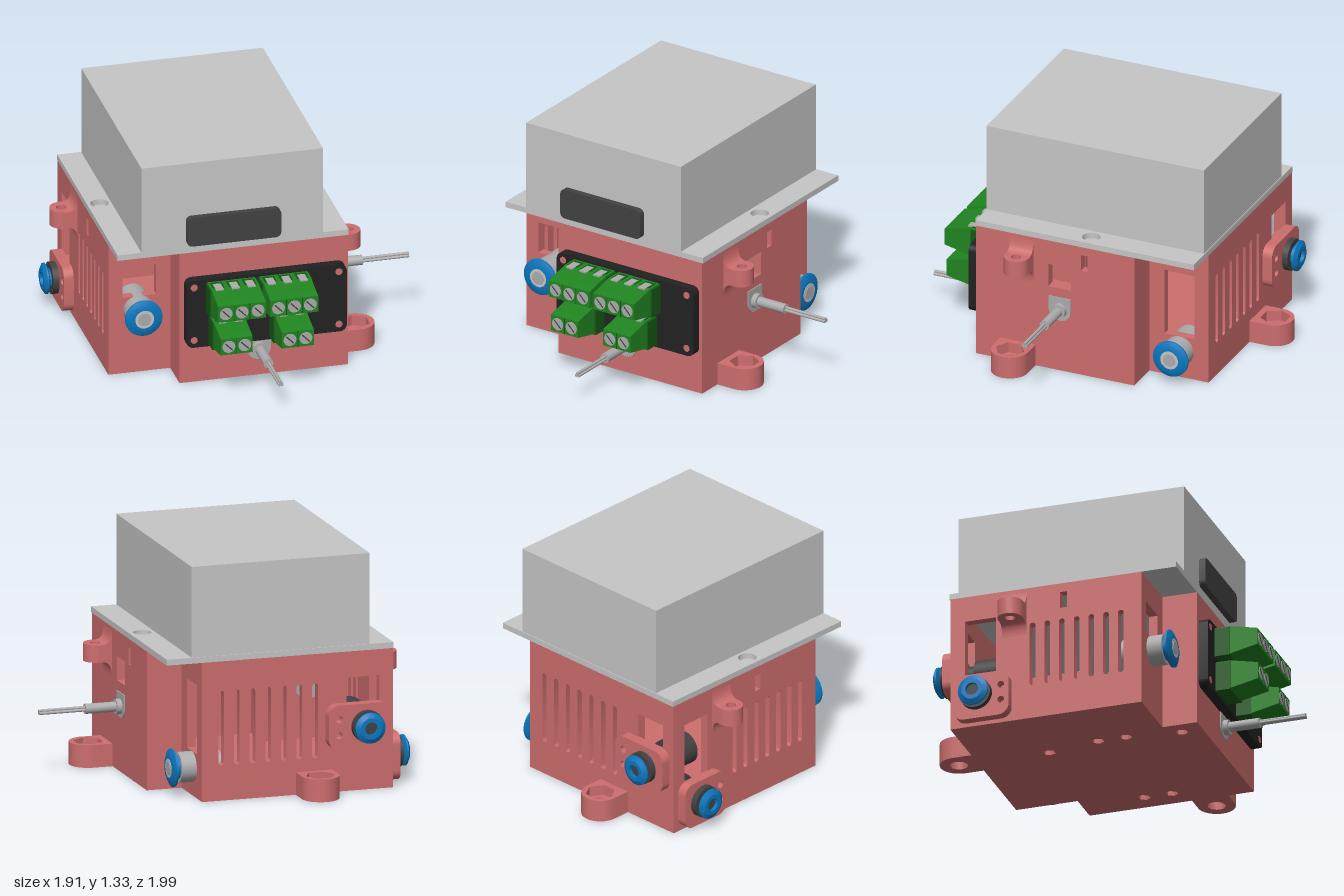
import * as THREE from 'three';
import { toCreasedNormals } from 'three/addons/utils/BufferGeometryUtils.js';

const mat = (name, color) => Object.assign(new THREE.MeshStandardMaterial({ color }), { name });

export function createModel() {
  const root = new THREE.Group();
  root.name = 'powerControlUnit';
  const M = {
    red: mat('coral plastic', 0xcd6d6d), grey: mat('light grey', 0xc6c6c6), metal: mat('metal grey', 0xacacac),
    dark: mat('dark grey', 0x424242), black: mat('black', 0x222222), green: mat('green', 0x208520),
    deep: mat('deep green', 0x145a14), blue: mat('blue', 0x0a78c0),
  };

  // Helpers
  const add = (name, geo, m, parent = root) => {
    const mesh = new THREE.Mesh(geo, m);
    mesh.name = name;
    parent.add(mesh);
    return mesh;
  };
  const box = (name, m, x0, x1, y0, y1, z0, z1) =>
    add(name, new THREE.BoxGeometry(x1 - x0, y1 - y0, z1 - z0)
      .translate((x0 + x1) / 2, (y0 + y1) / 2, (z0 + z1) / 2), m);
  const rounded = (x0, x1, y0, y1, r, T = THREE.Shape) => {
    const s = new T();
    s.absarc(x1 - r, y1 - r, r, 0, Math.PI / 2);
    s.absarc(x0 + r, y1 - r, r, Math.PI / 2, Math.PI);
    s.absarc(x0 + r, y0 + r, r, Math.PI, Math.PI * 1.5);
    s.absarc(x1 - r, y0 + r, r, Math.PI * 1.5, Math.PI * 2);
    s.closePath();
    return s;
  };
  const rect = (x0, x1, y0, y1) => new THREE.Shape([[x0, y0], [x1, y0], [x1, y1], [x0, y1]].map(p => new THREE.Vector2(...p)));
  const poly = (pts) => new THREE.Shape(pts.map(p => new THREE.Vector2(...p)));
  const ring = (x, y, r, n = 32) => poly(Array.from({ length: n }, (_, i) =>
    [x + r * Math.cos(i / n * Math.PI * 2), y + r * Math.sin(i / n * Math.PI * 2)]));
  const extrude = (shape, holes, depth) => {
    shape.holes.push(...holes);
    return toCreasedNormals(new THREE.ExtrudeGeometry(shape, { depth, bevelEnabled: false, curveSegments: 10 }), 0.6);
  };
  // Extrusions facing z (shape in x,y), x (shape in z,y) and y (shape in x,z)
  const faceZ = (name, m, shape, holes, z0, z1) => add(name, extrude(shape, holes, z1 - z0).translate(0, 0, z0), m);
  const faceX = (name, m, shape, holes, x0, x1) =>
    add(name, extrude(shape, holes, x1 - x0).rotateY(-Math.PI / 2).translate(x1, 0, 0), m);
  const faceY = (name, m, shape, holes, y0, y1) =>
    add(name, extrude(shape, holes, y1 - y0).rotateX(Math.PI / 2).translate(0, y1, 0), m);
  // Cylinder lying along z from z0 to z1
  const rod = (name, m, r, z0, z1, parent, x = 0, y = 0) =>
    add(name, new THREE.CylinderGeometry(r, r, z1 - z0, 32).rotateX(Math.PI / 2).translate(x, y, (z0 + z1) / 2), m, parent);
  const axisGroup = (name, x, y, z, turn) => {
    const g = new THREE.Group();
    g.name = name;
    g.position.set(x, y, z);
    g.rotation.y = turn;
    root.add(g);
    return g;
  };

  // Upper housing with its flange and label
  box('upperHousing', M.grey, -0.685, 0.34, 0.815, 1.33, -0.785, 0.52);
  faceY('flange', M.grey, rect(-0.82, 0.485, -0.79, 0.52),
    [ring(-0.75, -0.14, 0.05), ring(0.41, -0.14, 0.05)], 0.787, 0.82);
  const plan = (d) => poly([[-0.47 + d, 0.52 - d], [0.48 - d, 0.52 - d], [0.48 - d, -0.43 + d], [0.28 - d, -0.43 + d],
    [0.28 - d, -0.785 + d], [-0.82 + d, -0.785 + d], [-0.82 + d, 0.32 - d], [-0.47 + d, 0.32 - d]]);
  faceY('innerLid', M.grey, plan(0.051), [], 0.76, 0.786);
  faceZ('label', M.dark, rounded(-0.435, 0.095, 0.84, 1.012, 0.03), [], 0.52, 0.556);

  // Lower case: floor with hexagonal recesses, then walls with windows and vents
  const hexes = [[0.355, 0.09], [0.355, -0.07], [-0.415, 0.09], [-0.415, -0.07], [-0.375, 0.4], [-0.36, -0.37]];
  faceY('floorUnderside', M.red, plan(0), hexes.map(([x, z]) => ring(x, z, 0.034, 6)), 0.003, 0.03);
  faceY('floor', M.red, plan(0), [], 0.03, 0.05);
  const Y0 = 0.04, Y1 = 0.787, T = 0.05;
  const vents = (u0, step, y0, y1) => Array.from({ length: 7 }, (_, i) =>
    rounded(u0 + i * step - 0.016, u0 + i * step + 0.016, y0, y1, 0.0159));
  const wall = (a, b) => rect(a, b, Y0, Y1);
  const tall = () => rect(-0.7, -0.52, 0.25, 0.64);
  const low = () => rect(-0.74, -0.55, 0.46, 0.64);
  const slit = () => rect(-0.15, -0.11, 0.64, 0.735);
  faceZ('frontWall', M.red, wall(-0.47, 0.48), [], 0.52 - T, 0.52);
  faceZ('frontNotchWall', M.red, wall(-0.82, -0.42), [low()], 0.32 - T, 0.32);
  faceX('frontNotchSide', M.red, wall(0.27, 0.52), [], -0.47, -0.47 + T);
  faceX('leftmostWall', M.red, wall(-0.785, 0.32), [tall(), slit(), ...vents(-0.31, 0.085, 0.2, 0.575)], -0.82, -0.82 + T);
  faceZ('backWall', M.red, wall(-0.82, 0.28), [low(), ...vents(-0.37, 0.09, 0.2, 0.62)], -0.785, -0.785 + T);
  faceX('backNotchWall', M.red, wall(-0.785, -0.38), [tall()], 0.28 - T, 0.28);
  faceZ('backNotchSide', M.red, wall(0.23, 0.48), [], -0.43, -0.43 + T);
  faceX('sideWall', M.red, wall(-0.43, 0.52), [rect(-0.05, 0.085, 0.505, 0.64), slit()], 0.48 - T, 0.48);

  // Mounting lugs: a rounded tongue reaching out along local +z
  const tongue = (r, reach) => {
    const s = new THREE.Shape();
    s.moveTo(r, -0.01);
    s.lineTo(r, reach);
    s.absarc(0, reach, r, 0, Math.PI);
    s.lineTo(-r, -0.01);
    s.closePath();
    return s;
  };
  const slab = (name, g, r, reach, hole, y0, y1) =>
    add(name, extrude(tongue(r, reach), [hole], y1 - y0).rotateX(Math.PI / 2).translate(0, y1, 0), M.red, g);
  for (const [x, z, turn] of [[0.48, 0.267, Math.PI / 2], [-0.365, -0.785, Math.PI]]) {
    const g = axisGroup('lowerLug', x, 0, z, turn);
    slab('lugBase', g, 0.105, 0.108, ring(0, 0.108, 0.05), 0.003, 0.07);
    slab('lugHexSeat', g, 0.105, 0.108, ring(0, 0.108, 0.083, 6), 0.07, 0.13);
  }
  for (const [x, z, turn] of [[0.48, 0.245, Math.PI / 2], [-0.82, -0.415, -Math.PI / 2]]) {
    const g = axisGroup('upperLug', x, 0, z, turn);
    slab('lugTongue', g, 0.07, 0.07, ring(0, 0.075, 0.028), 0.587, 0.685);
    const s = new THREE.Shape();
    s.moveTo(-0.01, 0.765);
    s.lineTo(0, 0.765);
    s.quadraticCurveTo(0.003, 0.688, 0.046, 0.685);
    s.lineTo(0.046, 0.587);
    s.quadraticCurveTo(0.003, 0.584, 0, 0.51);
    s.lineTo(-0.01, 0.51);
    s.closePath();
    add('lugFillet', extrude(s, [], 0.14).rotateY(-Math.PI / 2).translate(0.07, 0, 0), M.red, g);
  }

  // Fitting mounts on the outside
  faceZ('backMount', M.red, rounded(-0.79, -0.43, 0.25, 0.5, 0.06),
    [ring(-0.49, 0.33, 0.02, 16), ring(-0.49, 0.42, 0.02, 16)], -0.843, -0.78);
  faceX('leftMount', M.red, rounded(-0.75, -0.43, 0.025, 0.29, 0.06),
    [ring(-0.475, 0.115, 0.02, 16), ring(-0.475, 0.205, 0.02, 16)], -0.875, -0.815);

  // Push-in fittings: blue release collars on round bodies
  const collar = (r, bore, z0) => toCreasedNormals(new THREE.LatheGeometry(
    [[bore, 0], [r * 0.62, 0], [r * 0.62, 0.018], [r, 0.03], [r, 0.04], [r * 0.7, 0.055], [bore, 0.055], [bore, 0]]
      .map(([a, b]) => new THREE.Vector2(a, b)), 40).rotateX(Math.PI / 2).translate(0, 0, z0), 0.5);
  for (const [x, y, z, turn] of [[-0.65, 0.375, -0.843, Math.PI], [-0.875, 0.165, -0.615, -Math.PI / 2]]) {
    const g = axisGroup('smallFitting', x, y, z, turn);
    rod('fittingBase', M.dark, 0.09, 0, 0.034, g);
    add('releaseCollar', collar(0.086, 0.036, 0.025), M.blue, g);
    rod('fittingBore', M.dark, 0.037, 0.03, 0.06, g);
    rod('fittingNeck', M.dark, 0.065, -0.17, -0.05, g);
    rod('fittingInnerBody', M.dark, 0.092, -0.325, -0.165, g);
  }
  for (const [x, y, z, turn] of [[-0.65, 0.38, 0.32, 0], [0.28, 0.165, -0.61, Math.PI / 2]]) {
    const g = axisGroup('largeFitting', x, y, z, turn);
    rod('fittingBody', M.metal, 0.085, -0.15, 0.085, g);
    add('releaseCollar', collar(0.105, 0.052, 0.08), M.blue, g);
    rod('tubeEnd', M.grey, 0.053, 0.08, 0.137, g);
    rod('tubeBore', M.metal, 0.037, 0.137, 0.14, g);
  }

  // Cable glands with cables and wires
  for (const [x, y, z, turn] of [[-0.022, 0.165, 0.52, 0], [0.48, 0.375, 0.015, Math.PI / 2]]) {
    const g = axisGroup('cable', x, y, z, turn);
    const s = new THREE.Shape();
    s.moveTo(0.066, 0.075);
    s.lineTo(-0.066, 0.075);
    s.absarc(0, 0, 0.066, Math.PI, Math.PI * 2);
    s.closePath();
    add('glandPlate', extrude(s, [], 0.03).translate(0, 0, -0.024), M.metal, g);
    rod('glandNut', M.metal, 0.042, 0, 0.035, g);
    rod('cableJacket', M.metal, 0.028, 0.035, 0.21, g);
    for (let i = 0; i < 3; i++) {
      const a = i * Math.PI * 2 / 3 + Math.PI / 2;
      rod('wire', M.metal, 0.0085, 0.21, 0.475, g, 0.0085 * Math.cos(a), 0.0085 * Math.sin(a));
    }
  }

  // Front terminal panel with corner holes showing the case
  faceZ('terminalPanel', M.black, rounded(-0.445, 0.46, 0.235, 0.64, 0.04), [], 0.52, 0.575);
  for (const x of [-0.402, 0.415]) for (const y of [0.28, 0.598]) rod('cornerFastener', M.red, 0.02, 0.57, 0.577, root, x, y);

  // Terminal blocks: tapered body, header, screws and wire openings
  for (const [x0, x1, yc, n] of [[-0.33, -0.06, 0.54, 3], [-0.035, 0.235, 0.54, 3], [-0.315, -0.135, 0.34, 2], [0.03, 0.21, 0.34, 2]]) {
    const h = 0.083;
    faceX('terminalBlock', M.green, poly([[0.575, yc - h], [0.66, yc - h], [0.82, yc - 0.048], [0.82, yc + 0.048],
      [0.66, yc + h], [0.575, yc + h]]), [], x0, x1);
    box('terminalHeader', M.deep, x0 - 0.006, x1 + 0.008, yc - 0.09, yc + 0.076, 0.575, 0.66);
    for (let i = 0; i < n; i++) {
      const x = x0 + 0.045 + 0.09 * i;
      rod('screw', M.metal, 0.036, 0.815, 0.823, root, x, yc);
      add('screwSlot', new THREE.BoxGeometry(0.06, 0.007, 0.002).rotateZ(-0.8).translate(x, yc, 0.8235), M.dark);
      box('wireOpening', M.deep, x - 0.033, x + 0.033, yc + h - 0.004, yc + h + 0.002, 0.59, 0.66);
      box('wireClamp', M.metal, x - 0.022, x + 0.022, yc + h - 0.004, yc + h + 0.004, 0.612, 0.688);
      if (i) box('divider', M.deep, x - 0.047, x - 0.043, yc - 0.048, yc + 0.048, 0.816, 0.822);
    }
  }
  return root;
}
